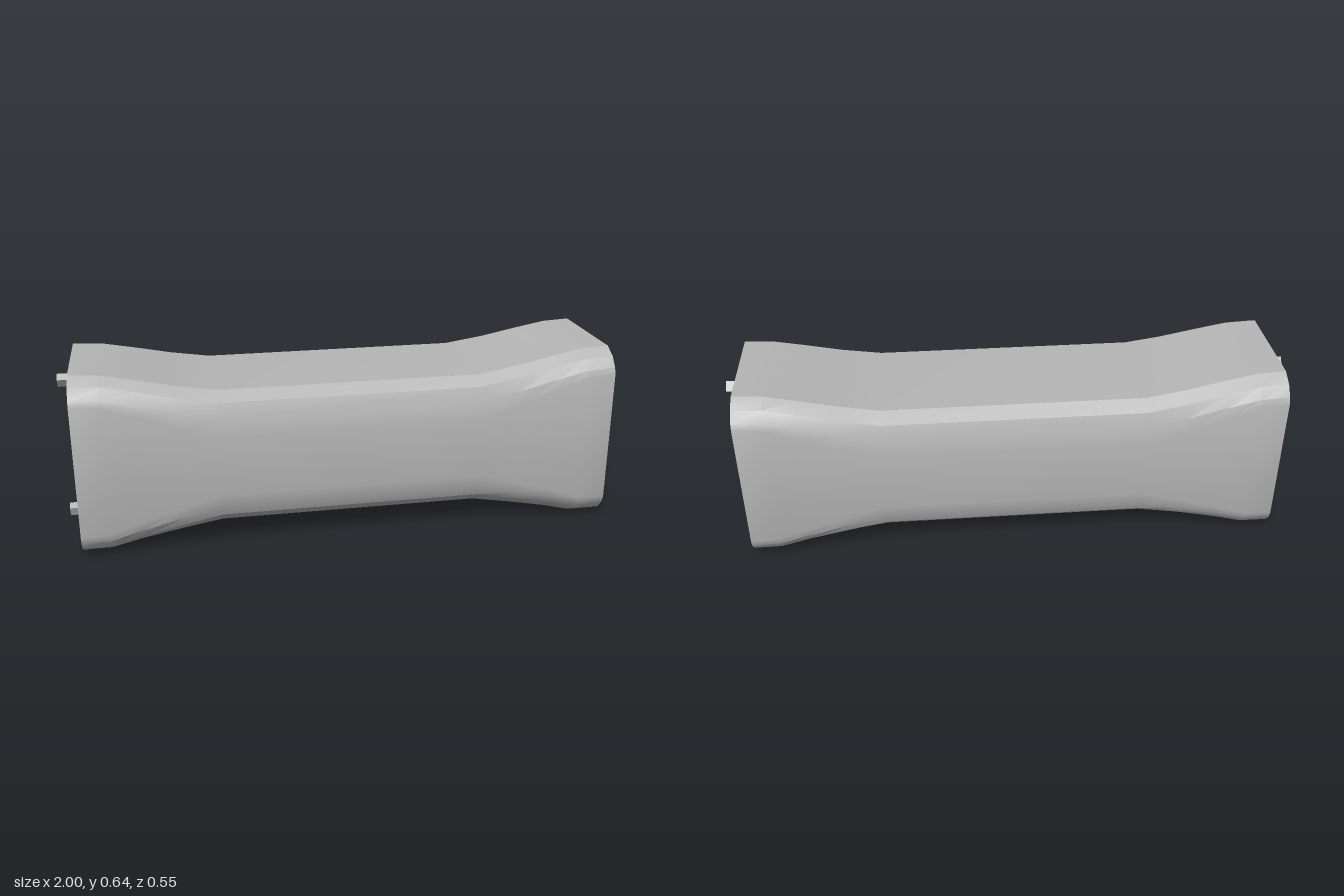
import * as THREE from 'three';
import { toCreasedNormals } from 'three/addons/utils/BufferGeometryUtils.js';

// Lengthwise stations: x, top, bottom, w (1 = flared end section, 0 = waist section)
const half = [
  [0.95, 0.648, 0.004, 1],
  [0.85, 0.643, 0.005, 0.95],
  [0.74, 0.622, 0.034, 0.7],
  [0.6, 0.593, 0.064, 0.35],
  [0.46, 0.571, 0.091, 0],
];
const stations = [
  ...half.map(([x, ...rest]) => [-x, ...rest]),
  ...half.slice().reverse(),
];

// Corner profile as [z, distance in from top or bottom], for the waist and the ends
const waistTop = [[0.2, 0], [0.25, 0.03], [0.266, 0.08], [0.274, 0.15]];
const waistBottom = [[0.21, 0], [0.25, 0.035], [0.266, 0.07], [0.274, 0.12]];
const endCorner = [[0.19, 0], [0.238, 0.026], [0.266, 0.06], [0.274, 0.085]];

function section([x, top, bottom, w]) {
  const corner = (waist) => waist.map(([z, d], i) => [
    THREE.MathUtils.lerp(z, endCorner[i][0], w),
    THREE.MathUtils.lerp(d, endCorner[i][1], w),
  ]);
  const side = [
    ...corner(waistTop).map(([z, d]) => [z, top - d]),
    ...corner(waistBottom).reverse().map(([z, d]) => [z, bottom + d]),
  ];
  const other = side.slice().reverse().map(([z, y]) => [-z, y]);
  return [...side, ...other].map(([z, y]) => [x, y, z]);
}

// Skin joining all the sections, with flat end caps
function bodyGeometry() {
  const rings = stations.map(section);
  const n = rings[0].length;
  const position = rings.flat(2);
  const index = [];
  for (let i = 0; i < rings.length - 1; i++) {
    for (let j = 0; j < n; j++) {
      const k = (j + 1) % n;
      const a = i * n + j, b = i * n + k;
      index.push(a, b, a + n, b, b + n, a + n);
    }
  }
  const last = (rings.length - 1) * n;
  for (let j = 1; j < n - 1; j++) {
    index.push(0, j + 1, j);
    index.push(last, last + j, last + j + 1);
  }
  const geometry = new THREE.BufferGeometry();
  geometry.setAttribute('position', new THREE.Float32BufferAttribute(position, 3));
  geometry.setIndex(index);
  return toCreasedNormals(geometry, 0.4);
}

export function createModel() {
  const model = new THREE.Group();
  model.name = 'waistedBlock';
  const grey = new THREE.MeshStandardMaterial({ color: 0xb6b6b6 });
  grey.name = 'grey';

  const body = new THREE.Mesh(bodyGeometry(), grey);
  body.name = 'body';
  model.add(body);

  // Two small twisted pins on each end
  const pinGeometry = new THREE.BoxGeometry(0.06, 0.037, 0.029);
  for (const side of [-1, 1]) {
    for (const [y, tilt] of [[0.573, 0.6], [0.078, 0.4]]) {
      const pin = new THREE.Mesh(pinGeometry, grey);
      pin.name = (side > 0 ? 'left' : 'right') + (y > 0.3 ? 'UpperPin' : 'LowerPin');
      pin.position.set(side * 0.97, y, 0.002);
      pin.rotation.x = tilt;
      model.add(pin);
    }
  }
  return model;
}
